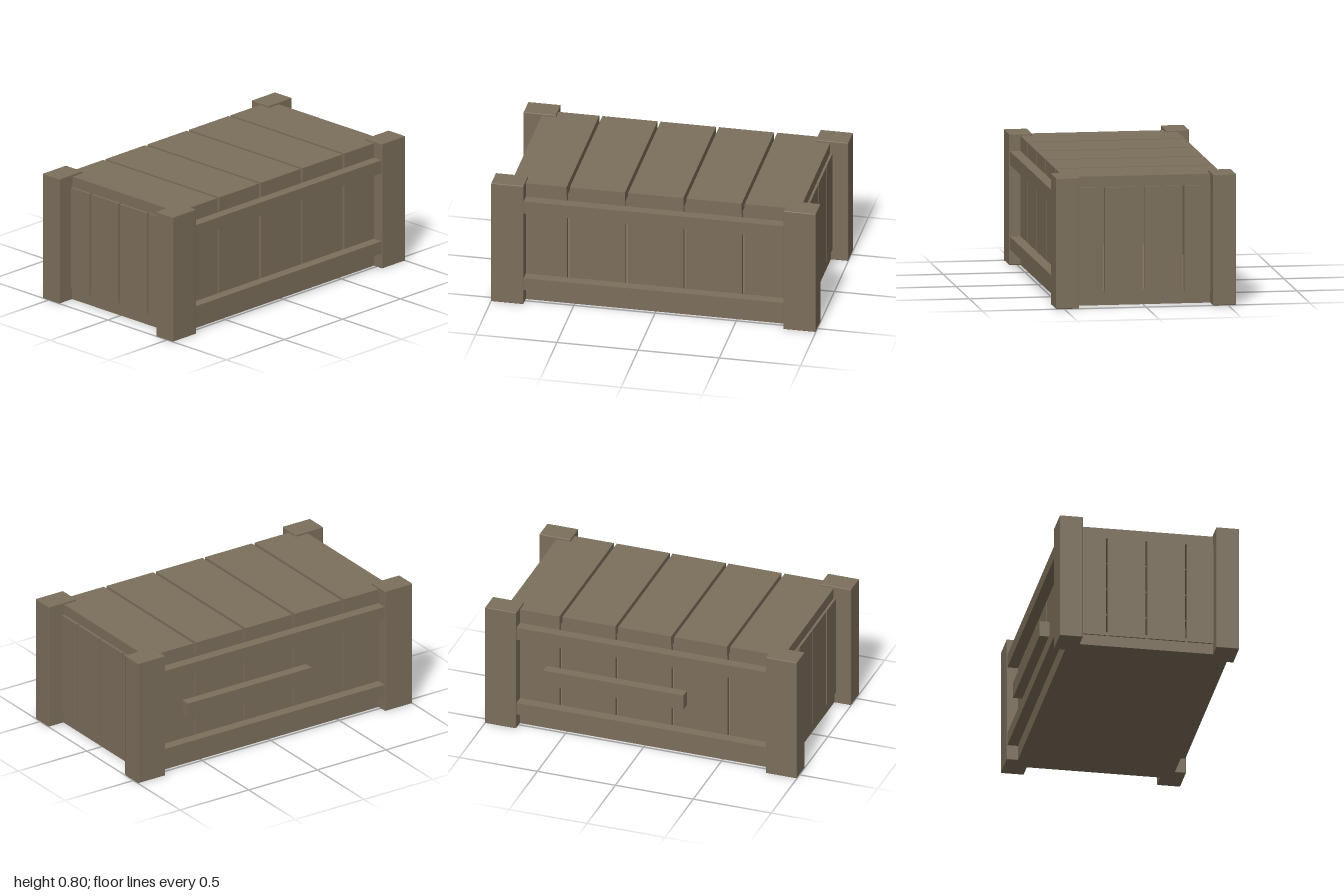
import * as THREE from 'three';
import { RoundedBoxGeometry } from 'three/addons/geometries/RoundedBoxGeometry.js';

export function createModel() {
  const crate = new THREE.Group();
  crate.name = 'woodenCrate';
  const wood = new THREE.MeshStandardMaterial({ color: 0x7c6f5b });
  wood.name = 'weatheredWood';

  // Box spanning the given x, y and z ranges
  function board(name, [x0, x1], [y0, y1], [z0, z1], bevel = 0) {
    const size = [x1 - x0, y1 - y0, z1 - z0];
    const geometry = bevel
      ? new RoundedBoxGeometry(...size, 1, bevel)
      : new THREE.BoxGeometry(...size);
    const mesh = new THREE.Mesh(geometry, wood);
    mesh.name = name;
    mesh.position.set((x0 + x1) / 2, (y0 + y1) / 2, (z0 + z1) / 2);
    crate.add(mesh);
  }
  const mirror = ([a, b], s) => (s > 0 ? [a, b] : [-b, -a]);

  // Solid floor
  board('floor', [-0.893, 0.893], [0.002, 0.095], [-0.481, 0.481]);

  // Corner posts
  for (const sx of [-1, 1]) {
    for (const sz of [-1, 1]) {
      board('cornerPost', mirror([0.8, 1], sx), [0, 0.8], mirror([0.408, 0.55], sz), 0.005);
    }
  }

  // Lid planks and the front and back wall planks below them
  const pitch = 0.359;
  for (let i = -2; i <= 2; i++) {
    const x = i * pitch;
    board('lidPlank', [x - 0.17, x + 0.17], [0.72, 0.787], [-0.481, 0.481]);
    for (const s of [-1, 1]) {
      const half = 0.1715;
      board(s > 0 ? 'frontPlank' : 'backPlank', [x - half, x + half], [0.095, 0.72], mirror([0.452, 0.48], s));
    }
  }

  // End wall planks
  for (const s of [-1, 1]) {
    for (let i = 0; i < 4; i++) {
      const z = (i - 1.5) * 0.242;
      board('endPlank', mirror([0.87, 0.903], s), [0.07, 0.72], [z - 0.115, z + 0.115]);
    }
  }

  // Horizontal rails, front and back
  for (const s of [-1, 1]) {
    for (const [y0, y1] of [[0.096, 0.175], [0.613, 0.695]]) {
      board('rail', [-0.81, 0.81], [y0, y1], mirror([0.48, 0.545], s));
    }
  }

  // Off-centre handle bar on the back
  board('backHandle', [-0.27, 0.63], [0.332, 0.43], [-0.542, -0.48]);

  return crate;
}
